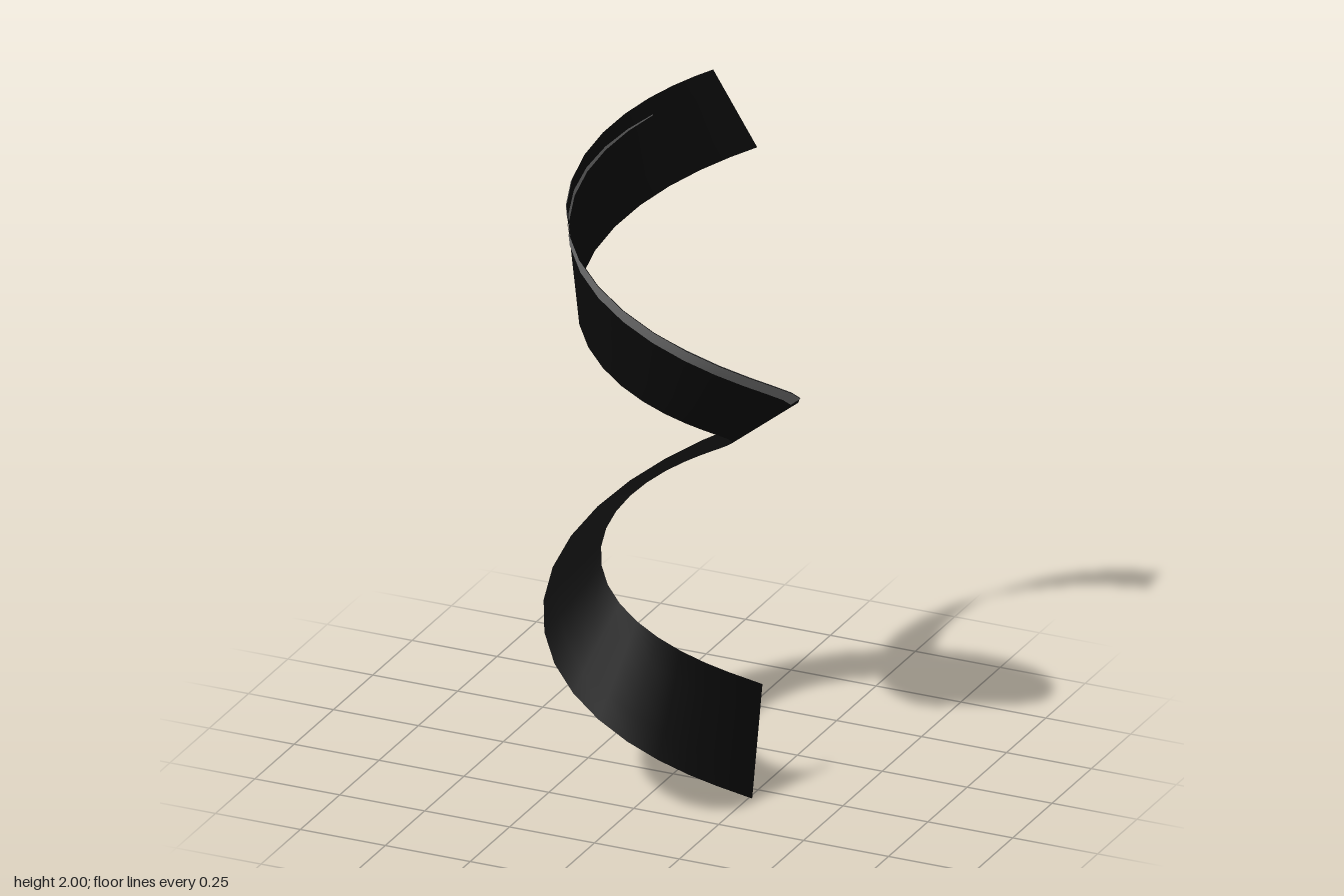
import * as THREE from 'three';

const STEP = THREE.MathUtils.degToRad(16.2); // angle of one ribbon segment
const SEGMENTS = 40;
const RADIUS = 0.26, HALF = 0.0985, RISE = 1.718, STRETCH = 1.66;

// Point on the twisting ribbon: s in segments, v from -1 to 1 across, lift off the face
function ribbonPoint(s, v, lift = 0) {
  const a = s * STEP, twist = a / 3;
  const across = -Math.cos(twist) * HALF * v;
  const r = RADIUS + Math.sin(twist) * HALF * v + Math.cos(twist) * lift;
  const back = -across * 0.333;
  const y = 0.155 + RISE * s / SEGMENTS + across * 0.943 * STRETCH + Math.sin(twist) * lift;
  return [
    r * Math.cos(a) - back * Math.sin(a),
    y,
    r * Math.sin(a) + back * Math.cos(a) + 0.026,
  ];
}

// Band between two edges of the ribbon, from segment s0 to s1
function band(name, material, s0, s1, edges, columns, lift) {
  const pos = [], index = [];
  const row = columns + 1;
  for (let s = s0; s <= s1; s++) {
    const [lo, hi] = edges(s);
    for (let j = 0; j <= columns; j++) {
      pos.push(...ribbonPoint(s, lo + (hi - lo) * j / columns, lift));
    }
  }
  for (let i = 0; i < s1 - s0; i++) {
    for (let j = 0; j < columns; j++) {
      const a = i * row + j, b = a + row;
      index.push(a, a + 1, b, b, a + 1, b + 1);
    }
  }
  const g = new THREE.BufferGeometry();
  g.setAttribute('position', new THREE.Float32BufferAttribute(pos, 3));
  g.setIndex(index);
  g.computeVertexNormals();
  const mesh = new THREE.Mesh(g, material);
  mesh.name = name;
  return mesh;
}

export function createModel() {
  const group = new THREE.Group();
  group.name = 'twistedRibbon';
  const black = new THREE.MeshStandardMaterial({ color: 0x0b0b0b, side: THREE.DoubleSide });
  black.name = 'black';
  const grey = new THREE.MeshStandardMaterial({ color: 0x777777, side: THREE.DoubleSide });
  grey.name = 'grey';

  // Main spiral ribbon
  group.add(band('ribbon', black, 0, SEGMENTS, () => [-1, 1], 4, 0));

  // Grey stripe on the outer face, along the upper edge
  group.add(band('outerStripe', grey, 21, 33, () => [0.72, 1], 1, -0.002));

  // Grey stripe on the inner face, narrowing and sliding inward near the top
  group.add(band('innerStripe', grey, 19, 37, (s) => {
    const t = THREE.MathUtils.clamp((s - 26) / 11, 0, 1);
    return [0.7 - 0.08 * t, 1 - 0.36 * t];
  }, 1, 0.002));

  return group;
}
